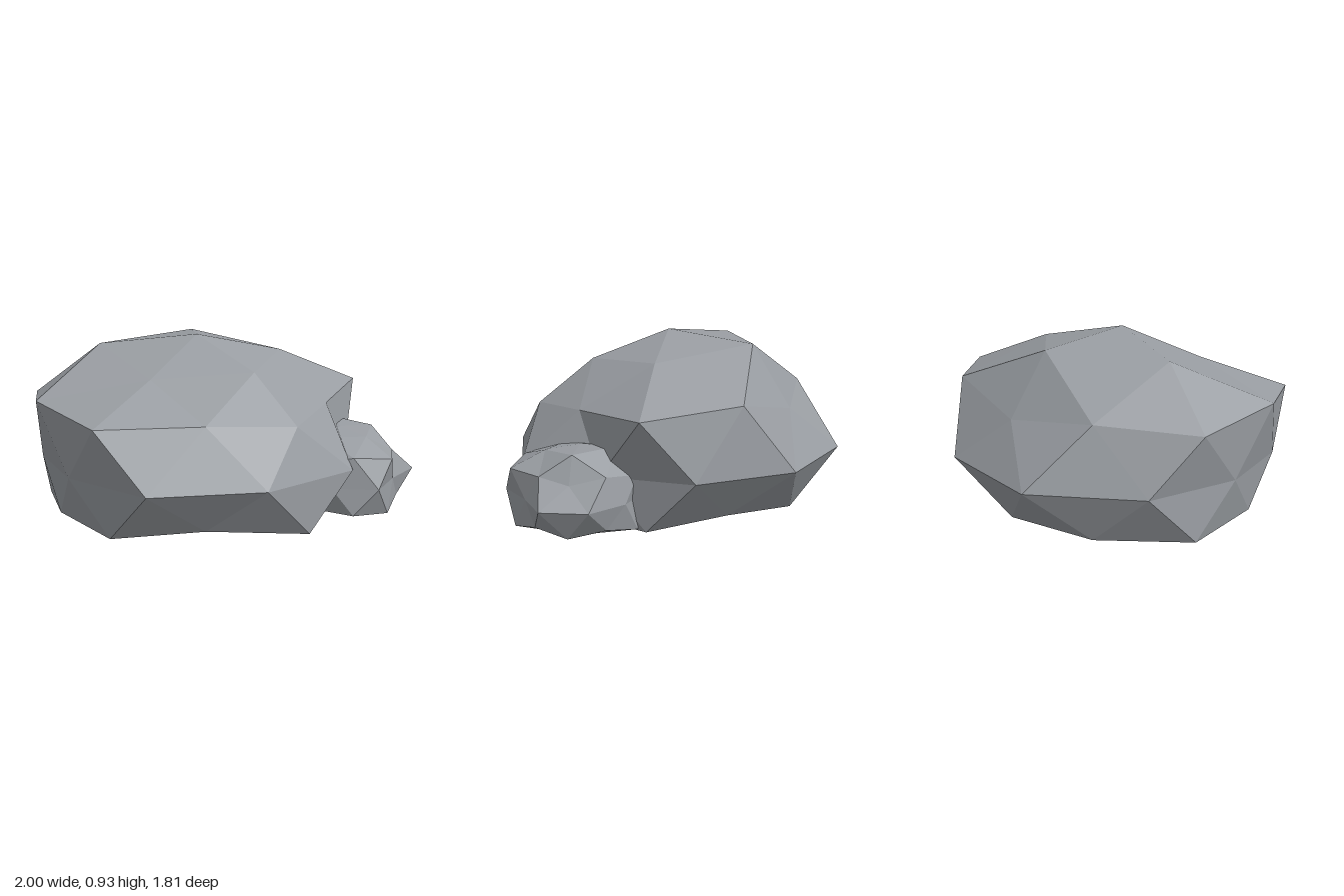
import * as THREE from 'three';

const stone = new THREE.MeshStandardMaterial({ color: 0x999da2, flatShading: true });
stone.name = 'grey stone';

// Rings of a pole-up icosphere: [height, ring radius, start angle, count]
const RINGS = {
  T: [1, 0, 0, 1],
  A: [0.851, 0.526, 0, 5],
  B: [0.447, 0.894, 0, 5],
  C: [0.526, 0.851, 36, 5],
  E: [0, 1, 18, 10],
  F: [-0.447, 0.894, 36, 5],
  G: [-0.526, 0.851, 0, 5],
  H: [-0.851, 0.526, 36, 5],
  P: [-1, 0, 0, 1],
};

// Faceted boulder: each ring vertex is pushed to its own radius, then the base is cut flat at y = 0
function makeRock(name, center, scale, radii) {
  const point = (ring, i) => {
    const [h, r, start, count] = RINGS[ring];
    const k = (i + count) % count;
    const a = THREE.MathUtils.degToRad(start + (360 / count) * k);
    const f = radii[ring][k];
    return [
      center[0] + Math.cos(a) * r * f * scale[0],
      Math.max(0, center[1] + h * f * scale[1]),
      center[2] + Math.sin(a) * r * f * scale[2],
    ];
  };
  const positions = [];
  const face = (...corners) => corners.forEach(([ring, i]) => positions.push(...point(ring, i)));

  for (let k = 0; k < 5; k++) {
    const n = k + 1, e = 2 * k;
    // Crown
    face(['T', 0], ['A', n], ['A', k]);
    face(['A', k], ['C', k], ['B', k]);
    face(['A', k], ['A', n], ['C', k]);
    face(['A', n], ['B', n], ['C', k]);
    // Upper flank
    face(['B', k], ['E', e], ['E', e - 1]);
    face(['B', k], ['C', k], ['E', e]);
    face(['C', k], ['E', e + 1], ['E', e]);
    face(['C', k], ['B', n], ['E', e + 1]);
    // Lower flank
    face(['E', e], ['E', e + 1], ['F', k]);
    face(['E', e - 1], ['E', e], ['G', k]);
    face(['E', e], ['F', k], ['G', k]);
    face(['E', e + 1], ['G', n], ['F', k]);
    // Base
    face(['G', k], ['F', k], ['H', k]);
    face(['F', k], ['G', n], ['H', k]);
    face(['G', n], ['H', n], ['H', k]);
    face(['H', k], ['H', n], ['P', 0]);
  }
  const geometry = new THREE.BufferGeometry();
  geometry.setAttribute('position', new THREE.Float32BufferAttribute(positions, 3));
  geometry.computeVertexNormals();
  const mesh = new THREE.Mesh(geometry, stone);
  mesh.name = name;
  return mesh;
}

export function createModel() {
  const group = new THREE.Group();
  group.name = 'rocks';

  group.add(makeRock('largeRock', [-0.1, 0.28, 0.05], [1, 0.645, 0.89], {
    T: [1.0],
    A: [0.96, 0.9, 0.85, 1.06, 1.08],
    B: [1.11, 0.9, 1.05, 1.05, 0.91],
    C: [0.855, 0.875, 1.055, 0.99, 1.07],
    E: [0.85, 0.97, 0.96, 0.97, 0.85, 0.85, 0.965, 1.07, 1.02, 0.95],
    F: [0.87, 0.83, 0.88, 0.95, 0.83],
    G: [0.95, 1.07, 0.96, 1.03, 0.97],
    H: [1, 1, 1, 1, 1],
    P: [1],
  }));

  group.add(makeRock('smallRock', [0.6, 0.17, 0.4], [1, 0.74, 0.95], {
    T: [0.34],
    A: [0.38, 0.36, 0.36, 0.36, 0.41],
    B: [0.31, 0.42, 0.36, 0.36, 0.38],
    C: [0.34, 0.42, 0.36, 0.36, 0.38],
    E: [0.42, 0.32, 0.42, 0.36, 0.36, 0.36, 0.36, 0.33, 0.345, 0.41],
    F: [0.36, 0.43, 0.38, 0.36, 0.36],
    G: [0.385, 0.42, 0.36, 0.36, 0.4],
    H: [0.36, 0.36, 0.36, 0.36, 0.36],
    P: [0.36],
  }));

  return group;
}
